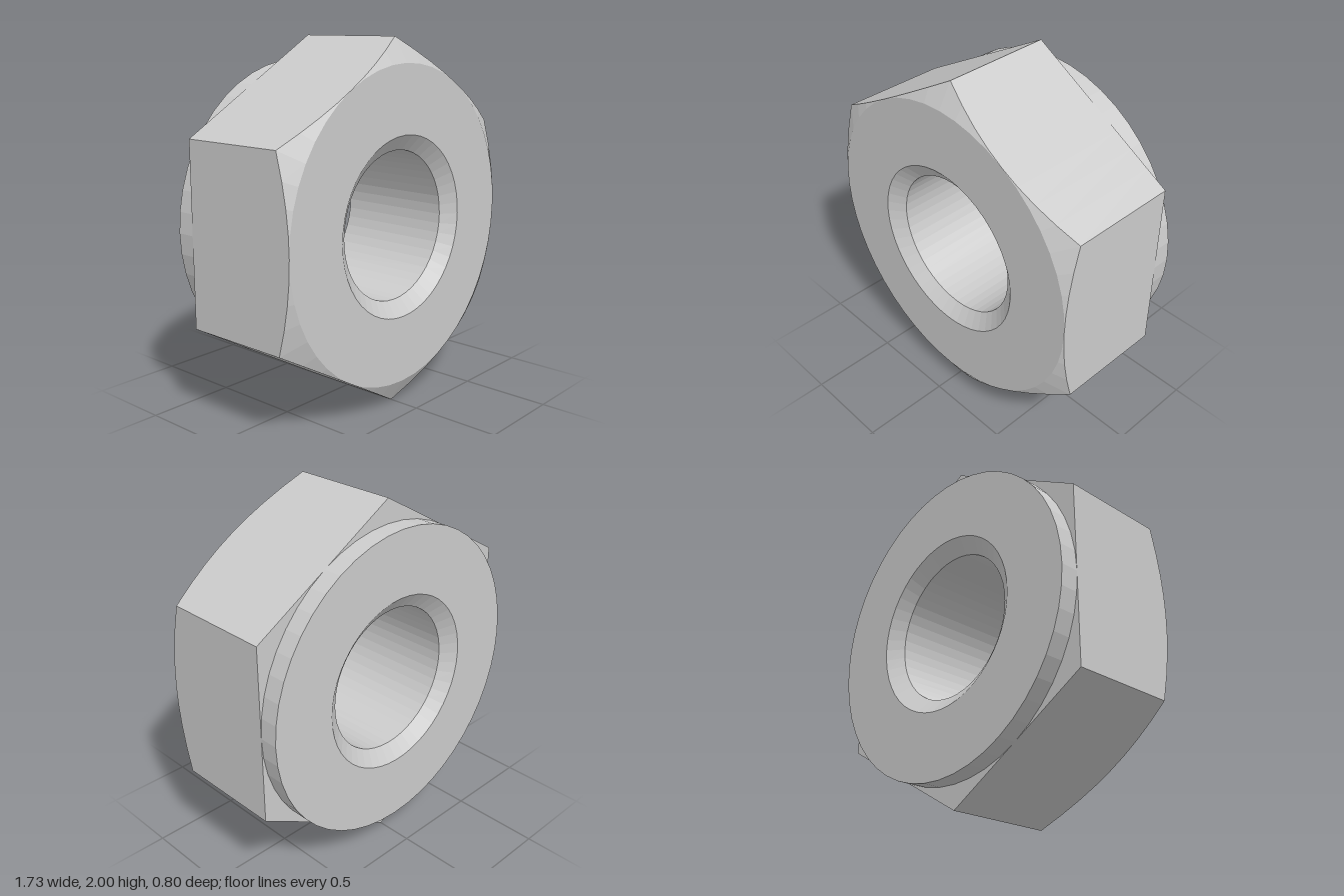
import * as THREE from 'three';

const SEGMENTS = 48;
const APOTHEM = Math.sqrt(3) / 2;
const FRONT = 0.4, SHOULDER = -0.295, BACK = -0.4;
const BORE = 0.41, MOUTH = 0.495, MOUTH_DEPTH = 0.065;

const material = new THREE.MeshStandardMaterial({ color: 0xcccccc, flatShading: true });

// Distance from the axis to the hexagon outline, with corners at top and bottom
function hexRadius(angle) {
  const sector = Math.PI / 3;
  const offset = angle - Math.round(angle / sector) * sector;
  return APOTHEM / Math.cos(offset);
}

// Sweeps a profile of [radius, z] pairs around the z axis; it may vary with the angle
function sweep(name, profileAt) {
  const positions = [], indices = [];
  const count = profileAt(0).length;
  for (let s = 0; s <= SEGMENTS; s++) {
    const angle = (s / SEGMENTS) * Math.PI * 2;
    for (const [r, z] of profileAt(angle)) {
      positions.push(r * Math.cos(angle), r * Math.sin(angle), z);
    }
  }
  for (let s = 0; s < SEGMENTS; s++) {
    for (let i = 0; i < count - 1; i++) {
      const a = s * count + i, b = a + count;
      indices.push(a, a + 1, b + 1, a, b + 1, b);
    }
  }
  const geometry = new THREE.BufferGeometry();
  geometry.setAttribute('position', new THREE.Float32BufferAttribute(positions, 3));
  geometry.setIndex(indices);
  geometry.computeVertexNormals();
  const mesh = new THREE.Mesh(geometry, material);
  mesh.name = name;
  return mesh;
}

export function createModel() {
  const nut = new THREE.Group();
  nut.name = 'hexNut';

  // Hexagonal body: flat front, 30 degree conical corner chamfer, sides, rear shoulder
  nut.add(sweep('hexBody', (angle) => {
    const r = hexRadius(angle);
    const edge = FRONT - (r - APOTHEM) * Math.tan(Math.PI / 6);
    return [[MOUTH, FRONT], [APOTHEM, FRONT], [r, edge], [r, SHOULDER], [APOTHEM, SHOULDER]];
  }));

  // Raised round bearing face at the back
  nut.add(sweep('washerFace', () => [[APOTHEM, SHOULDER], [APOTHEM, BACK], [MOUTH, BACK]]));

  // Through hole, countersunk at both ends
  nut.add(sweep('bore', () => [
    [MOUTH, BACK], [BORE, BACK + MOUTH_DEPTH], [BORE, FRONT - MOUTH_DEPTH], [MOUTH, FRONT],
  ]));

  nut.position.y = 1;
  const model = new THREE.Group();
  model.add(nut);
  return model;
}
